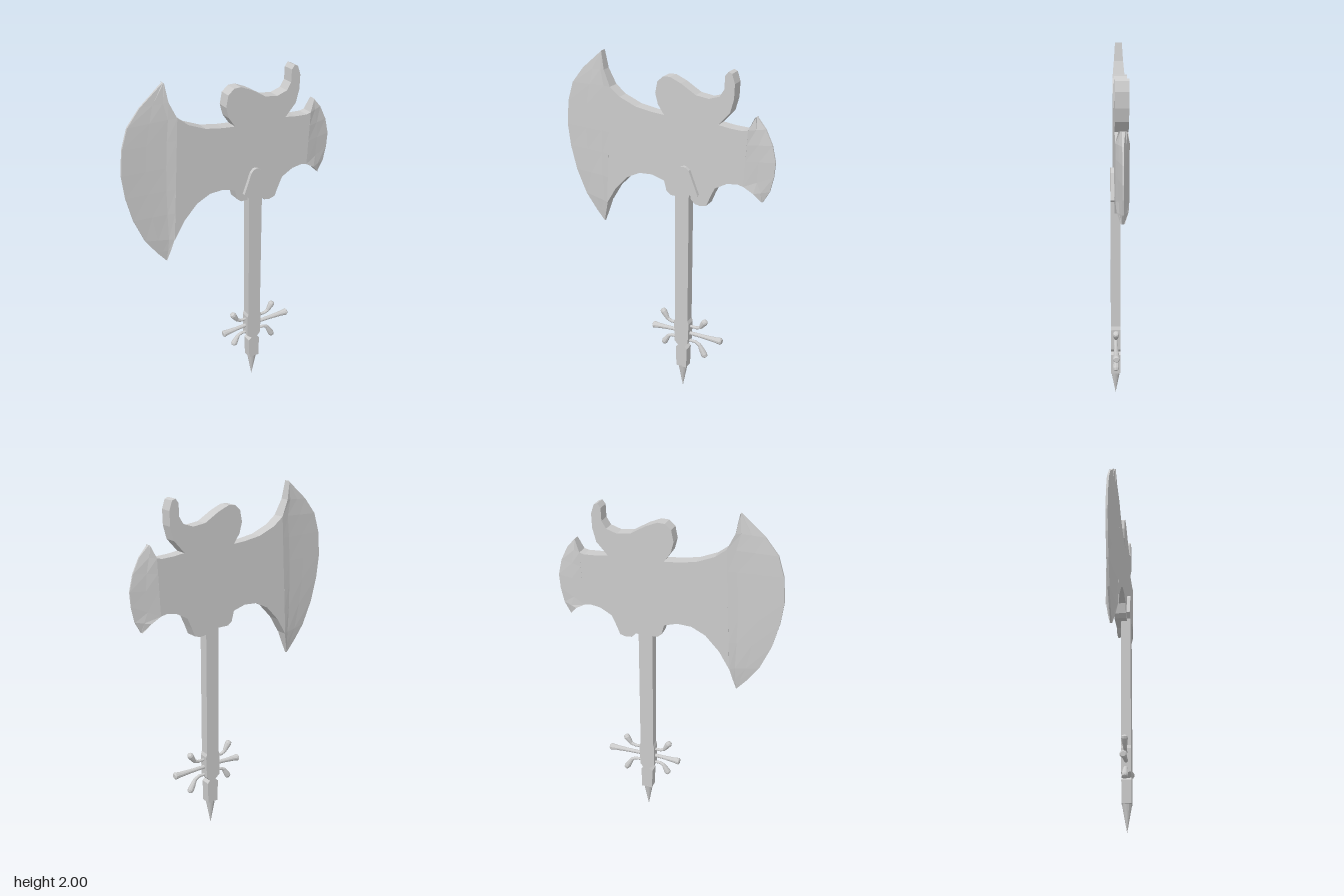
import * as THREE from 'three';

const material = new THREE.MeshStandardMaterial({ color: 0xcccccc, flatShading: true });

function addMesh(parent, name, geometry) {
  const mesh = new THREE.Mesh(geometry, material);
  mesh.name = name;
  parent.add(mesh);
  return mesh;
}

// flat outline extruded between two depths
function slab(points, zBack, zFront) {
  const shape = new THREE.Shape(points.map(([x, y]) => new THREE.Vector2(x, y)));
  const geo = new THREE.ExtrudeGeometry(shape, { depth: zFront - zBack, bevelEnabled: false });
  return geo.translate(0, 0, zBack);
}

// skin over closed rings of equal size, capped at both ends
function loft(rings) {
  const n = rings[0].length;
  const pos = [];
  const index = [];
  rings.forEach((ring) => ring.forEach((p) => pos.push(...p)));
  for (let r = 0; r < rings.length - 1; r++) {
    for (let i = 0; i < n; i++) {
      const a = r * n + i;
      const b = r * n + ((i + 1) % n);
      index.push(a, b, b + n, a, b + n, a + n);
    }
  }
  const last = (rings.length - 1) * n;
  for (let i = 1; i < n - 1; i++) {
    index.push(0, i + 1, i, last, last + i, last + i + 1);
  }
  const geo = new THREE.BufferGeometry();
  geo.setAttribute('position', new THREE.Float32BufferAttribute(pos, 3));
  geo.setIndex(index);
  geo.computeVertexNormals();
  return geo;
}

// rows run upward: [x, y of the -x edge, x, y of the +x edge, thickness factor]
// columns run across: [position, half thickness]
function blade(rows, columns) {
  const zMid = -0.01;
  return loft(rows.map(([x0, y0, x1, y1, k]) => {
    const side = (sign) => columns.map(([t, h]) => [
      x0 + (x1 - x0) * t,
      y0 + (y1 - y0) * t,
      zMid + sign * Math.max(0.004, h * k),
    ]);
    return [...side(1), ...side(-1).reverse()];
  }));
}

// round peg of varying radius along a path in the xy plane: [x, y, radius]
function peg(path, z, sides = 10) {
  return loft(path.map(([x, y, r], i) => {
    const a = path[Math.max(0, i - 1)];
    const b = path[Math.min(path.length - 1, i + 1)];
    const len = Math.hypot(b[0] - a[0], b[1] - a[1]);
    const nx = -(b[1] - a[1]) / len;
    const ny = (b[0] - a[0]) / len;
    return Array.from({ length: sides }, (_, s) => {
      const ang = (s / sides) * Math.PI * 2;
      return [x + nx * r * Math.cos(ang), y + ny * r * Math.cos(ang), z + r * Math.sin(ang)];
    });
  }));
}

export function createModel() {
  const model = new THREE.Group();
  model.name = 'axeGuitar';

  // body with rounded lobe, horn and lower bumps
  addMesh(model, 'body', slab([
    [-0.37, 1.12], [-0.31, 1.22], [-0.23, 1.305], [-0.15, 1.345], [-0.07, 1.35], [0.005, 1.328],
    [0.02, 1.27], [0.045, 1.25], [0.17, 1.25], [0.195, 1.225], [0.23, 1.22], [0.265, 1.23],
    [0.285, 1.28], [0.312, 1.34], [0.38, 1.378], [0.44, 1.388], [0.475, 1.38],
    [0.488, 1.69], [0.46, 1.683], [0.39, 1.686], [0.322, 1.695],
    [0.385, 1.765], [0.405, 1.84], [0.407, 1.92], [0.39, 1.97], [0.37, 1.978], [0.352, 1.955],
    [0.35, 1.885], [0.325, 1.845], [0.265, 1.825], [0.19, 1.835], [0.105, 1.885], [0.04, 1.912],
    [0, 1.91], [-0.035, 1.88], [-0.048, 1.815], [-0.032, 1.755], [0.005, 1.702],
    [-0.07, 1.708], [-0.17, 1.724], [-0.27, 1.765], [-0.33, 1.812],
  ], -0.045, 0.025));

  // large blade, thinning to its outer edge
  addMesh(model, 'largeBlade', blade([
    [-0.412, 0.988, -0.408, 0.988, 0.2],
    [-0.465, 1.05, -0.388, 1.055, 0.6],
    [-0.53, 1.14, -0.37, 1.12, 0.9],
    [-0.59, 1.28, -0.361, 1.28, 1],
    [-0.625, 1.42, -0.353, 1.42, 1],
    [-0.64, 1.55, -0.345, 1.55, 1],
    [-0.627, 1.69, -0.337, 1.69, 1],
    [-0.592, 1.80, -0.33, 1.812, 1],
    [-0.52, 1.89, -0.371, 1.90, 0.75],
    [-0.392, 2.0, -0.388, 2.0, 0.55],
  ], [[0, 0.006], [0.45, 0.015], [0.82, 0.024], [1, 0.035]]));

  // small blade on the other side
  addMesh(model, 'smallBlade', blade([
    [0.573, 1.302, 0.577, 1.302, 0.3],
    [0.53, 1.348, 0.612, 1.365, 0.85],
    [0.475, 1.38, 0.63, 1.45, 1],
    [0.481, 1.52, 0.635, 1.53, 1],
    [0.485, 1.61, 0.613, 1.62, 1],
    [0.488, 1.69, 0.573, 1.70, 1],
    [0.518, 1.758, 0.522, 1.758, 0.6],
  ], [[0, 0.035], [0.45, 0.02], [1, 0.004]]));

  // neck with arrow-shaped top, notch and end block
  addMesh(model, 'neck', slab([
    [0.1, 0.155], [0.165, 0.155], [0.168, 0.285], [0.152, 0.3], [0.173, 0.325], [0.178, 0.46],
    [0.17, 0.48], [0.168, 1.28], [0.205, 1.27], [0.22, 1.285], [0.165, 1.42], [0.145, 1.435],
    [0.13, 1.438], [0.113, 1.433], [0.098, 1.415], [0.055, 1.295], [0.085, 1.265],
    [0.09, 0.48], [0.083, 0.46], [0.085, 0.325], [0.115, 0.3], [0.095, 0.285],
  ], -0.01, 0.045));

  // pointed end spike
  const spike = addMesh(model, 'endSpike', new THREE.ConeGeometry(0.029, 0.16, 12));
  spike.rotation.x = Math.PI;
  spike.position.set(0.132, 0.08, 0.018);

  // tuning pegs: one straight and two bent on each side
  const pegs = new THREE.Group();
  pegs.name = 'tuningPegs';
  model.add(pegs);
  const bent = (x0, y0, x1, x2, y2) => {
    const at = (t, r) => [x1 + (x2 - x1) * t, y0 + (y2 - y0) * t, r];
    return [[x0, y0, 0.008], [x1 - (x1 - x0) * 0.25, y0, 0.009],
      at(0.15, 0.011), at(0.5, 0.016), at(0.8, 0.019), at(0.95, 0.015), at(1, 0.006)];
  };
  const straight = (x0, x1, y0, y1) => [[0, 0.011], [0.45, 0.012], [0.8, 0.016], [0.97, 0.021], [1, 0.014]]
    .map(([t, r]) => [x0 + (x1 - x0) * t, y0 + (y1 - y0) * t, r]);
  const paths = {
    straightPegRight: straight(0.1, -0.072, 0.39, 0.378),
    straightPegLeft: straight(0.16, 0.382, 0.388, 0.39),
    upperPegRight: bent(0.1, 0.436, 0.035, -0.01, 0.505),
    upperPegLeft: bent(0.16, 0.436, 0.235, 0.277, 0.5),
    lowerPegRight: bent(0.1, 0.34, 0.04, -0.002, 0.27),
    lowerPegLeft: bent(0.16, 0.338, 0.23, 0.28, 0.25),
  };
  for (const [name, path] of Object.entries(paths)) addMesh(pegs, name, peg(path, 0.018));

  return model;
}
